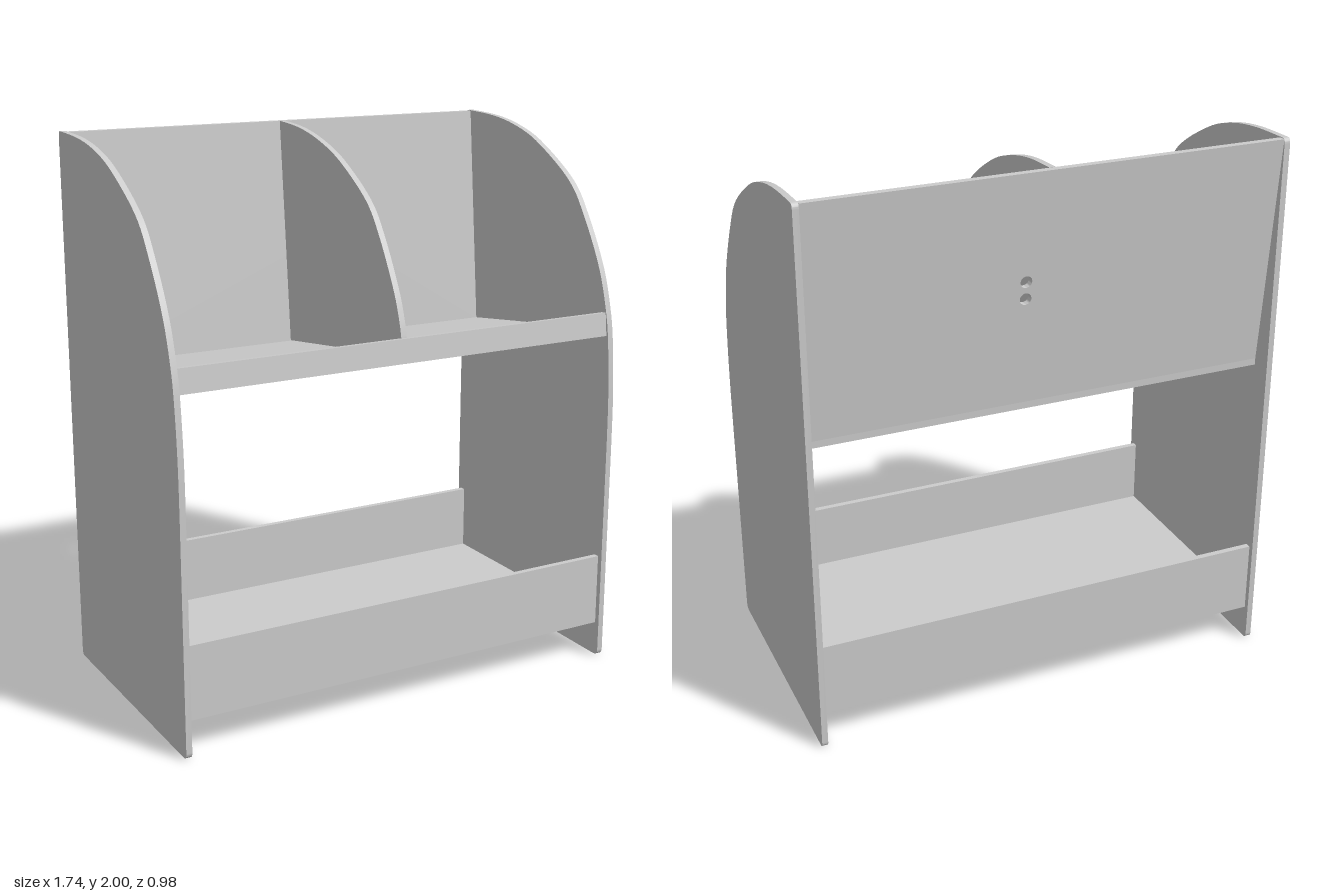
import * as THREE from 'three';
import { toCreasedNormals } from 'three/addons/utils/BufferGeometryUtils.js';

const INNER = 1.7;   // clear width between the side panels
const BOARD = 0.022; // board thickness

export function createModel() {
  const group = new THREE.Group();
  const board = new THREE.MeshStandardMaterial({ color: 0xcccccc });
  board.name = 'light grey board';

  function add(name, geometry) {
    const mesh = new THREE.Mesh(geometry, board);
    mesh.name = name;
    group.add(mesh);
    return mesh;
  }

  // Extrude a (z, y) outline along x, centred on x = 0
  function acrossX(shape, width) {
    const g = new THREE.ExtrudeGeometry(shape, { depth: width, bevelEnabled: false, curveSegments: 10 });
    g.rotateY(-Math.PI / 2);
    g.translate(width / 2, 0, 0);
    return toCreasedNormals(g, 0.5);
  }
  const points = (list) => list.map(([z, y]) => new THREE.Vector2(z, y));
  const polygon = (list) => new THREE.Shape(points(list));
  const smooth = (list) => new THREE.SplineCurve(points(list)).getPoints(48);

  // Side panels: straight back, rounded feet, sweeping front curve
  const side = new THREE.Shape();
  side.moveTo(-0.47, 0);
  side.lineTo(0.465, 0);
  side.quadraticCurveTo(0.49, 0, 0.49, 0.025);
  side.lineTo(0.49, 0.85);
  smooth([[0.49, 0.85], [0.487, 1.03], [0.474, 1.21], [0.453, 1.34], [0.4, 1.5], [0.3, 1.675],
    [0.2, 1.796], [0, 1.915], [-0.15, 1.967], [-0.3, 1.992], [-0.475, 2]])
    .slice(1).forEach((p) => side.lineTo(p.x, p.y));
  side.quadraticCurveTo(-0.49, 2, -0.49, 1.98);
  side.lineTo(-0.49, 0.02);
  side.quadraticCurveTo(-0.49, 0, -0.47, 0);
  for (const [name, s] of [['leftSide', 1], ['rightSide', -1]]) {
    add(name, acrossX(side, BOARD)).position.x = s * (INNER + BOARD) / 2;
  }

  // Upper shelf, rising towards the front, with a lip that leans back
  add('upperShelf', acrossX(polygon([[-0.412, 1.135], [0.437, 1.252], [0.434, 1.277], [-0.412, 1.16]]), INNER));
  add('upperLip', acrossX(polygon([[0.437, 1.252], [0.46, 1.255], [0.45, 1.34], [0.428, 1.338]]), INNER));

  // Divider between the two upper compartments
  const divider = polygon([[-0.388, 1.165], [0.43, 1.275]]);
  smooth([[0.433, 1.33], [0.415, 1.4], [0.375, 1.5], [0.28, 1.665], [0.185, 1.78],
    [0, 1.895], [-0.15, 1.952], [-0.3, 1.985], [-0.461, 1.998]])
    .forEach((p) => divider.lineTo(p.x, p.y));
  add('divider', acrossX(divider, BOARD));

  // Leaning back panel with two round cable holes
  const back = new THREE.Shape();
  back.moveTo(-INNER / 2, 1.16);
  back.lineTo(INNER / 2, 1.16);
  back.lineTo(INNER / 2, 1.997);
  back.lineTo(-INNER / 2, 1.997);
  for (const y of [1.553, 1.615]) {
    back.holes.push(new THREE.Path().absarc(0.084, y, 0.021, 0, Math.PI * 2, true));
  }
  const panel = new THREE.ExtrudeGeometry(back, { depth: 0.026, bevelEnabled: false, curveSegments: 16 });
  const pos = panel.attributes.position;
  for (let i = 0; i < pos.count; i++) {
    pos.setZ(i, pos.getZ(i) - 0.412 - (pos.getY(i) - 1.16) * 0.0895);
  }
  add('backPanel', toCreasedNormals(panel, 0.5));

  // Lower shelf with upright boards at front and back
  add('lowerShelf', new THREE.BoxGeometry(INNER, BOARD, 0.94)).position.y = 0.141;
  for (const [name, s] of [['lowerFrontBoard', 1], ['lowerBackBoard', -1]]) {
    add(name, new THREE.BoxGeometry(INNER, 0.248, BOARD)).position.set(0, 0.276, s * 0.459);
  }

  return group;
}
